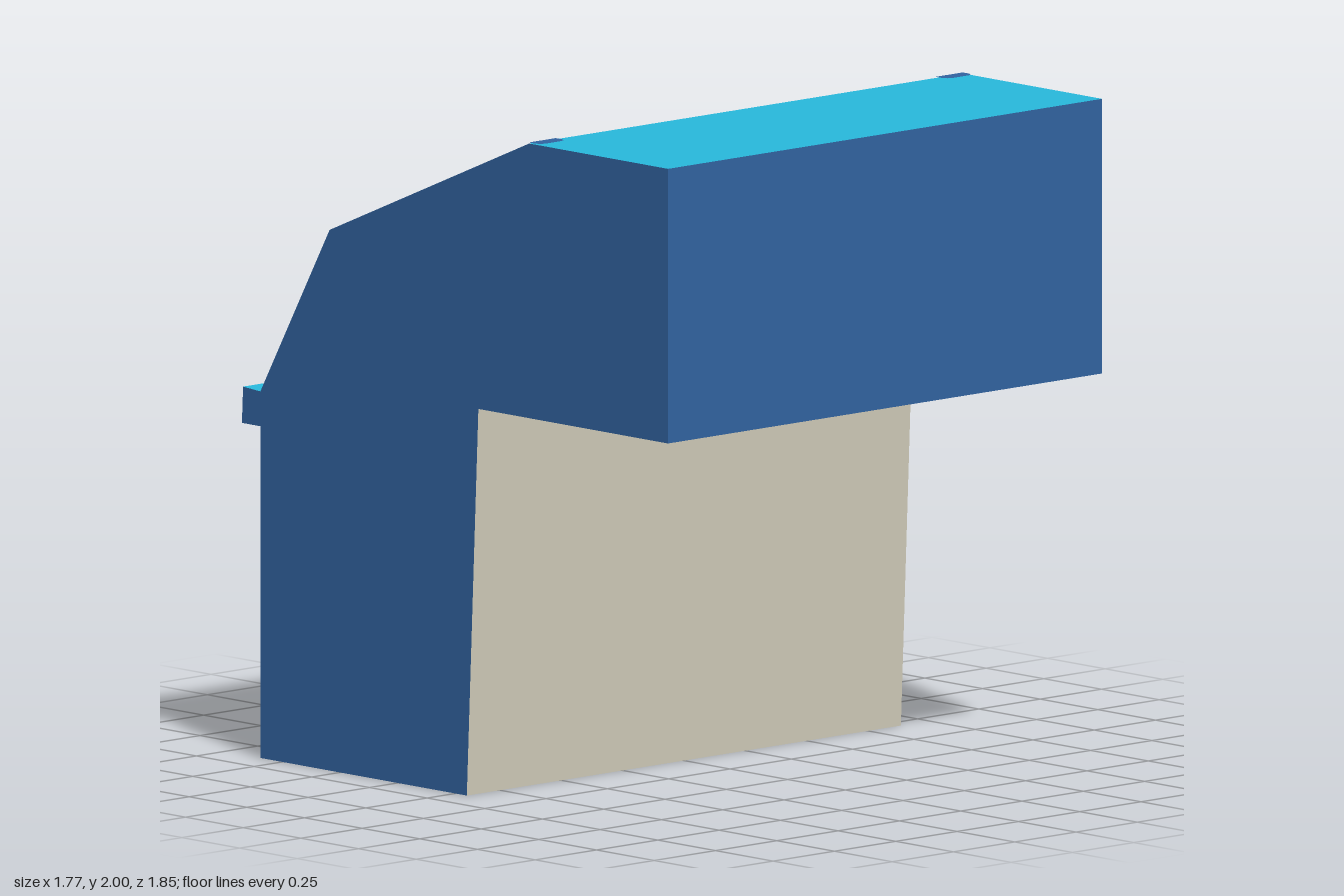
import * as THREE from 'three';

const flat = (name, color) => Object.assign(new THREE.MeshStandardMaterial({ color }), { name });
const blue = flat('blue', 0x3163a0);
const cyan = flat('cyan', 0x27b8dc);
const beige = flat('beige', 0xd2cdba);
const grey = flat('lightGrey', 0xcfdae0);
const dark = flat('darkGrey', 0x676f7d);

const W = 0.885; // half width

function add(group, name, geometry, material) {
  const mesh = new THREE.Mesh(geometry, material);
  mesh.name = name;
  group.add(mesh);
}

// Flat strip across the full width between two profile points [z, y]
function panel([z0, y0], [z1, y1]) {
  const g = new THREE.BufferGeometry();
  g.setAttribute('position', new THREE.Float32BufferAttribute(
    [-W, y0, z0, W, y0, z0, W, y1, z1, -W, y1, z1], 3));
  g.setIndex([0, 1, 2, 0, 2, 3]);
  g.computeVertexNormals();
  return g;
}

// Closed prism from edges [z, y, name, material]; each edge runs to the next point
function prism(name, edges) {
  const group = new THREE.Group();
  group.name = name;
  edges.forEach((e, i) => add(group, e[2], panel(e, edges[(i + 1) % edges.length]), e[3]));
  for (const s of [1, -1]) {
    const side = new THREE.ShapeGeometry(new THREE.Shape(
      edges.map(([z, y]) => new THREE.Vector2(-s * z, y))));
    side.rotateY(s * Math.PI / 2).translate(s * W, 0, 0);
    add(group, s > 0 ? 'leftSide' : 'rightSide', side, blue);
  }
  return group;
}

// Key heights of the sloping faces: [z, y]
const crest = [0.32, 2], bend = [-0.545, 1.63], sill = [-0.845, 1.105];

// Thin paint face drawn in plan (x, z), then laid on the slope from a to b
function paint(points, a, b) {
  const g = new THREE.ShapeGeometry(new THREE.Shape(
    points.map(([x, z]) => new THREE.Vector2(x, -z))));
  g.rotateX(-Math.PI / 2);
  const slope = (a[1] - b[1]) / (a[0] - b[0]);
  const n = new THREE.Vector3(0, 1, -slope).normalize().multiplyScalar(0.003);
  const p = g.attributes.position;
  for (let i = 0; i < p.count; i++) {
    const z = p.getZ(i);
    p.setXYZ(i, p.getX(i), b[1] + (z - b[0]) * slope + n.y, z + n.z);
  }
  g.computeVertexNormals();
  return g;
}

// Rectangle with clipped corners; square keeps the back corners sharp
function plate(x0, x1, z0, z1, square = false) {
  const c = 0.022, d = 0.007;
  const front = [[x0, z1 - c], [x0 + d, z1 - d], [x0 + c, z1], [x1 - c, z1], [x1 - d, z1 - d], [x1, z1 - c]];
  const back = square ? [[x1, z0], [x0, z0]]
    : [[x1, z0 + c], [x1 - d, z0 + d], [x1 - c, z0], [x0 + c, z0], [x0 + d, z0 + d], [x0, z0 + c]];
  return [...front, ...back];
}

export function createModel() {
  const model = new THREE.Group();
  model.name = 'angledBlock';

  // Main body with overhanging top
  model.add(prism('body', [
    [0.922, 2, 'flatTop', cyan],
    [...crest, 'upperSlope', cyan],
    [...bend, 'lowerSlope', blue],
    [...sill, 'backWall', blue],
    [-0.845, 0.11, 'backBaseStrip', grey],
    [-0.845, 0, 'base', dark],
    [0.05, 0, 'frontWall', beige],
    [0.1, 1.172, 'overhangUnderside', dark],
    [0.922, 1.172, 'overhangFront', blue],
  ]));

  // Ledge along the back
  model.add(prism('backLedge', [
    [-0.845, 1.105, 'ledgeTop', cyan],
    [-0.92, 1.11, 'ledgeBack', blue],
    [-0.925, 1.0, 'ledgeUnderside', blue],
    [-0.845, 1.0, 'ledgeInner', blue],
  ]));

  // Painted plates in the middle of the slopes
  add(model, 'bendPatch', paint(plate(-0.445, 0.445, -0.545, -0.45, true), crest, bend), blue);
  add(model, 'upperCentrePlate', paint(plate(-0.335, 0.335, -0.345, -0.14), crest, bend), blue);
  add(model, 'lowerCentrePlate', paint(plate(-0.443, 0.443, -0.79, -0.685), bend, sill), cyan);

  // Mirrored painted plates and edge stripes
  for (const s of [1, -1]) {
    const mirror = pts => pts.map(([x, z]) => [s * x, z]);
    add(model, 'upperSidePlate', paint(mirror(plate(0.555, 0.665, -0.345, -0.14)), crest, bend), blue);
    add(model, 'lowerSidePlate', paint(mirror(plate(0.55, 0.66, -0.79, -0.685)), bend, sill), cyan);
    add(model, 'edgeStripe', paint(mirror([[0.775, 0.32], [W, 0.32], [W, -0.545], [0.775, -0.545]]), crest, bend), blue);
    add(model, 'edgeStripeEnd', paint(mirror(plate(0.775, W, 0.318, 0.367, true)), [1, 2], crest), blue);
  }
  return model;
}
